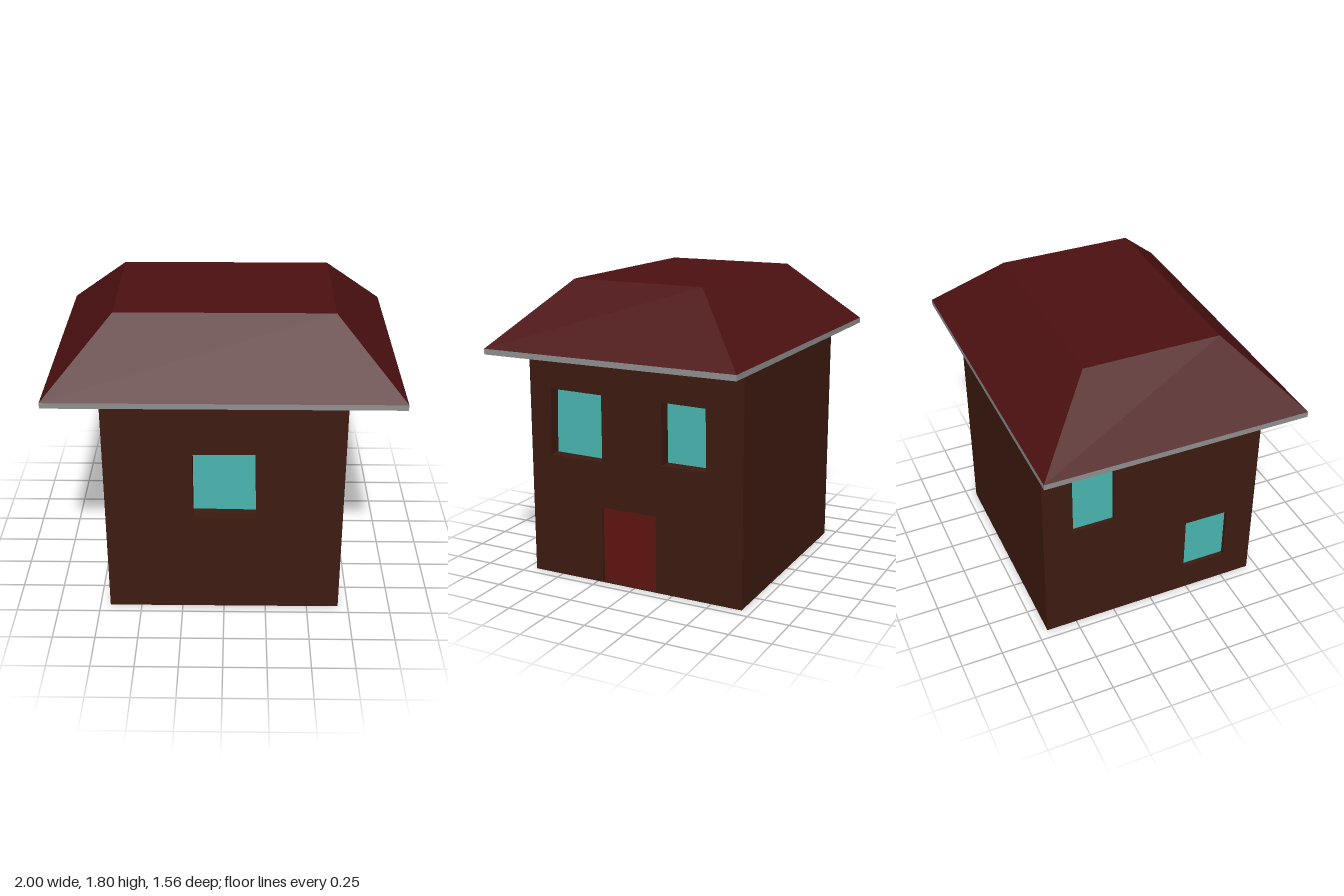
import * as THREE from 'three';

const HALF = 0.69, WALL_TOP = 1.395, THICK = 0.1;

const paint = (color) => new THREE.MeshStandardMaterial({ color, flatShading: true });
const brick = paint(0x3d1b10), tile = paint(0x4c1011), glass = paint(0x4ab5b0);
const doorRed = paint(0x5e140f), trim = paint(0x8f8f8f);

function add(parent, name, geometry, material, x = 0, y = 0, z = 0) {
  const mesh = new THREE.Mesh(geometry, material);
  mesh.name = name;
  mesh.position.set(x, y, z);
  parent.add(mesh);
  return mesh;
}

const outline = (corners) => corners.map(([x, y]) => new THREE.Vector2(x, y));

// One wall seen from outside; each opening is cut through and closed by a recessed panel
function makeWall(name, halfWidth, angle, openings = []) {
  const wall = new THREE.Group();
  wall.name = name;
  const shape = new THREE.Shape(outline([[-halfWidth, 0], [halfWidth, 0], [halfWidth, WALL_TOP], [-halfWidth, WALL_TOP]]));
  for (const o of openings) shape.holes.push(new THREE.Path(outline(o.corners)));
  const geometry = new THREE.ExtrudeGeometry(shape, { depth: THICK, bevelEnabled: false });
  add(wall, name + 'Panel', geometry, brick, 0, 0, HALF - THICK);
  for (const o of openings) {
    const panel = new THREE.ShapeGeometry(new THREE.Shape(outline(o.corners)));
    const material = o.name === 'door' ? doorRed : glass;
    add(wall, o.name, panel, material, 0, 0, HALF - o.depth);
  }
  wall.rotation.y = angle;
  return wall;
}

export function createModel() {
  const house = new THREE.Group();
  house.name = 'house';

  // Openings: corners run top left, top right, bottom right, bottom left
  const frontOpenings = [
    { name: 'frontWindow', depth: 0.095, corners: [[-0.18, 1.055], [0.177, 1.058], [0.187, 0.633], [-0.18, 0.638]] },
  ];
  const leftOpenings = [
    { name: 'largeWindow', depth: 0.072, corners: [[-0.545, 1.155], [-0.205, 1.15], [-0.205, 0.747], [-0.555, 0.752]] },
    { name: 'smallWindow', depth: 0.078, corners: [[0.185, 1.15], [0.46, 1.145], [0.465, 0.78], [0.185, 0.78]] },
    { name: 'door', depth: 0.022, corners: [[-0.215, 0.47], [0.145, 0.47], [0.145, 0.004], [-0.215, 0.004]] },
  ];
  const rightOpenings = [
    { name: 'upperWindow', depth: 0.026, corners: [[-0.507, 1.2], [-0.25, 1.2], [-0.25, 0.74], [-0.507, 0.74]] },
    { name: 'lowerWindow', depth: 0.026, corners: [[0.226, 0.54], [0.507, 0.535], [0.507, 0.18], [0.226, 0.18]] },
  ];

  // Walls: the sides fit between the front and back
  house.add(
    makeWall('frontWall', HALF, 0, frontOpenings),
    makeWall('backWall', HALF, Math.PI),
    makeWall('leftWall', HALF - THICK, Math.PI / 2, leftOpenings),
    makeWall('rightWall', HALF - THICK, -Math.PI / 2, rightOpenings),
  );

  // Floor slab between the walls
  const inner = 2 * (HALF - THICK);
  add(house, 'floor', new THREE.BoxGeometry(inner, 0.02, inner), brick, 0, 0.01, 0);

  // Eaves: grey edge band with a tiled underside
  add(house, 'eavesBand', new THREE.BoxGeometry(2, 0.033, 1.56), trim, 0, 1.4085, 0);
  add(house, 'soffit', new THREE.PlaneGeometry(2, 1.56), tile, 0, 1.39, 0).rotation.x = Math.PI / 2;

  // Hipped roof with a flat top: a box whose upper corners move inward
  const roof = new THREE.BoxGeometry(2, 0.375, 1.56);
  const p = roof.attributes.position;
  for (let i = 0; i < p.count; i++) {
    if (p.getY(i) > 0) {
      p.setX(i, Math.sign(p.getX(i)) * 0.622);
      p.setZ(i, Math.sign(p.getZ(i)) * 0.405);
    }
  }
  roof.computeVertexNormals();
  add(house, 'roof', roof, tile, 0, 1.6125, 0);

  return house;
}
